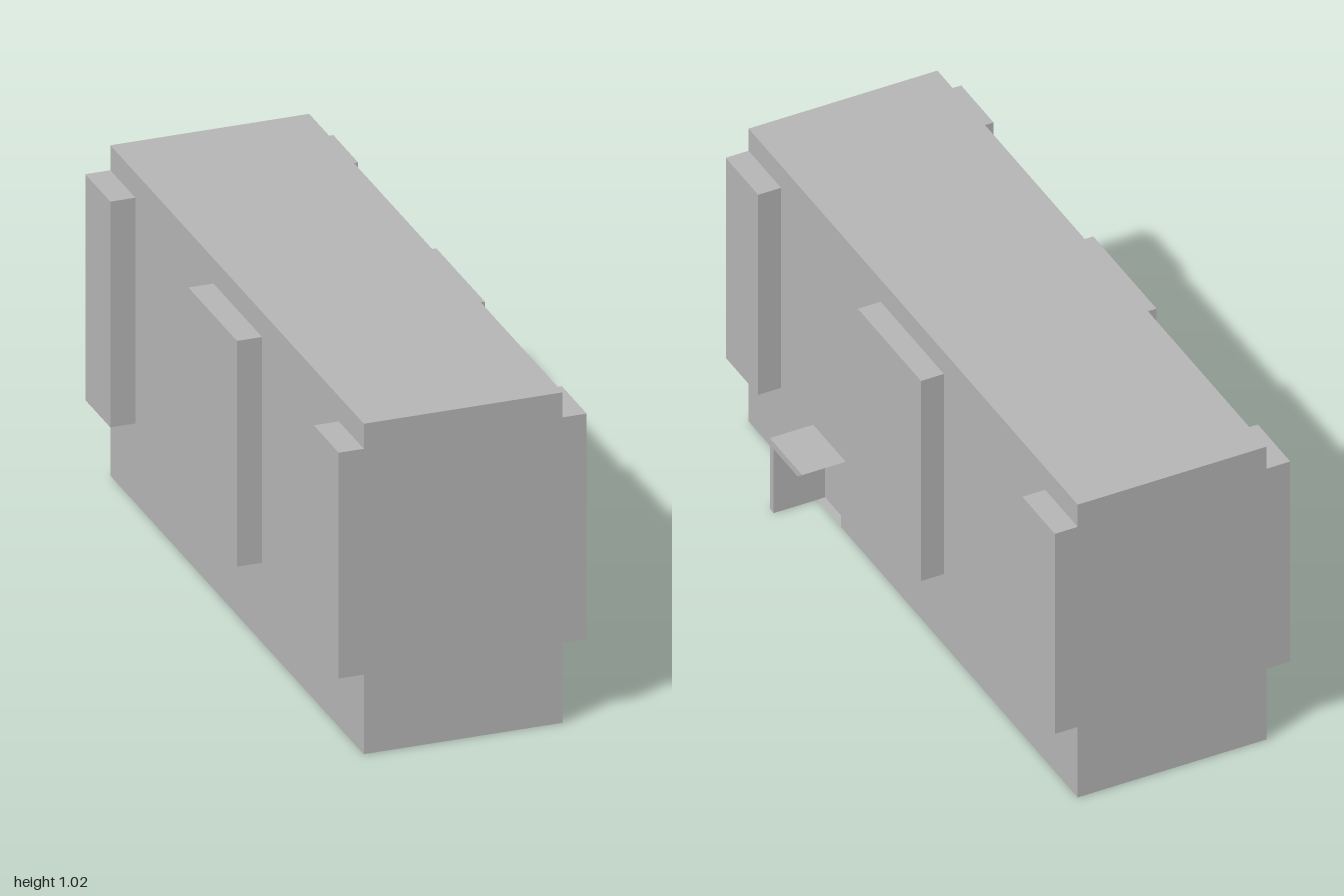
import * as THREE from 'three';

const X0 = -0.33, X1 = 0.265, H = 1.017;      // main body
const P0 = -0.405, P1 = 0.337;                // outer faces of the side panels
const LOW = 0.245, HIGH = 0.94;               // panel heights
const MID = [-0.187, 0.197], END = 0.803;     // panel extents along z
const DOOR = { z0: 0.438, z1: 0.583, top: 0.222, x: 0.24 };

const toShape = pts => new THREE.Shape(pts.map(p => new THREE.Vector2(...p)));

// Box without some of its faces, in the order +x -x +y -y +z -z
function openBox([x0, x1], [y0, y1], [z0, z1], skip) {
  const geo = new THREE.BoxGeometry(x1 - x0, y1 - y0, z1 - z0);
  const index = Array.from(geo.index.array).filter((_, i) => !skip.includes(Math.floor(i / 6)));
  geo.setIndex(index);
  geo.clearGroups();
  return geo.translate((x0 + x1) / 2, (y0 + y1) / 2, (z0 + z1) / 2);
}

// Flat side wall, cut open behind each panel and at the doorway
function sideWall(side, x) {
  const pts = [[1, 0], [1, LOW], [END, LOW], [END, HIGH], [1, HIGH], [1, H],
    [-1, H], [-1, HIGH], [-END, HIGH], [-END, LOW], [-1, LOW], [-1, 0]];
  if (side > 0) {
    pts.push([DOOR.z0, 0], [DOOR.z0, DOOR.top], [DOOR.z1, DOOR.top], [DOOR.z1, 0]);
  }
  const flip = ([z, y]) => [-side * z, y];
  const shape = toShape(pts.map(flip));
  shape.holes.push(toShape([[MID[0], LOW], [MID[1], LOW], [MID[1], HIGH], [MID[0], HIGH]].map(flip)));
  return new THREE.ShapeGeometry(shape).rotateY(side * Math.PI / 2).translate(x, 0, 0);
}

export function createModel() {
  const model = new THREE.Group();
  model.name = 'building';
  const grey = new THREE.MeshStandardMaterial({ color: 0xb4b4b4, side: THREE.DoubleSide });
  grey.name = 'plain grey';
  const add = (name, geo) => {
    const mesh = new THREE.Mesh(geo, grey);
    mesh.name = name;
    model.add(mesh);
  };

  // Roof over a hollow body, open underneath
  add('roof', new THREE.PlaneGeometry(X1 - X0, 2).rotateX(-Math.PI / 2).translate((X0 + X1) / 2, H, 0));

  // End walls, stepped out to the panels
  const outline = [[X0, 0], [X1, 0], [X1, LOW], [P1, LOW], [P1, HIGH], [X1, HIGH],
    [X1, H], [X0, H], [X0, HIGH], [P0, HIGH], [P0, LOW], [X0, LOW]];
  add('frontWall', new THREE.ShapeGeometry(toShape(outline)).translate(0, 0, 1));
  const mirrored = outline.map(([x, y]) => [-x, y]);
  add('backWall', new THREE.ShapeGeometry(toShape(mirrored)).rotateY(Math.PI).translate(0, 0, -1));

  // Side walls with three raised panels each, hollow towards the inside
  for (const side of [1, -1]) {
    const label = side > 0 ? 'left' : 'right';
    add(label + 'Wall', sideWall(side, side > 0 ? X1 : X0));
    const xs = side > 0 ? [X1, P1] : [P0, X0];
    const inner = side > 0 ? 1 : 0;
    add(label + 'FrontPanel', openBox(xs, [LOW, HIGH], [END, 1], [inner, 4]));
    add(label + 'MiddlePanel', openBox(xs, [LOW, HIGH], MID, [inner]));
    add(label + 'BackPanel', openBox(xs, [LOW, HIGH], [-1, -END], [inner, 5]));
  }

  // Porch: one wall and a canopy with a bevelled edge
  const profile = [[0.607, 0], [0.607, LOW], [0.41, LOW], [DOOR.z0, DOOR.top], [DOOR.z1, DOOR.top], [DOOR.z1, 0]];
  const porch = new THREE.ExtrudeGeometry(toShape(profile.map(([z, y]) => [-z, y])),
    { depth: 0.402 - DOOR.x, bevelEnabled: false });
  add('porch', porch.rotateY(Math.PI / 2).translate(DOOR.x, 0, 0));

  // Recessed door behind the porch
  add('door', openBox([DOOR.x, X1], [0, DOOR.top], [DOOR.z0, DOOR.z1], [0, 2, 4]));

  return model;
}
